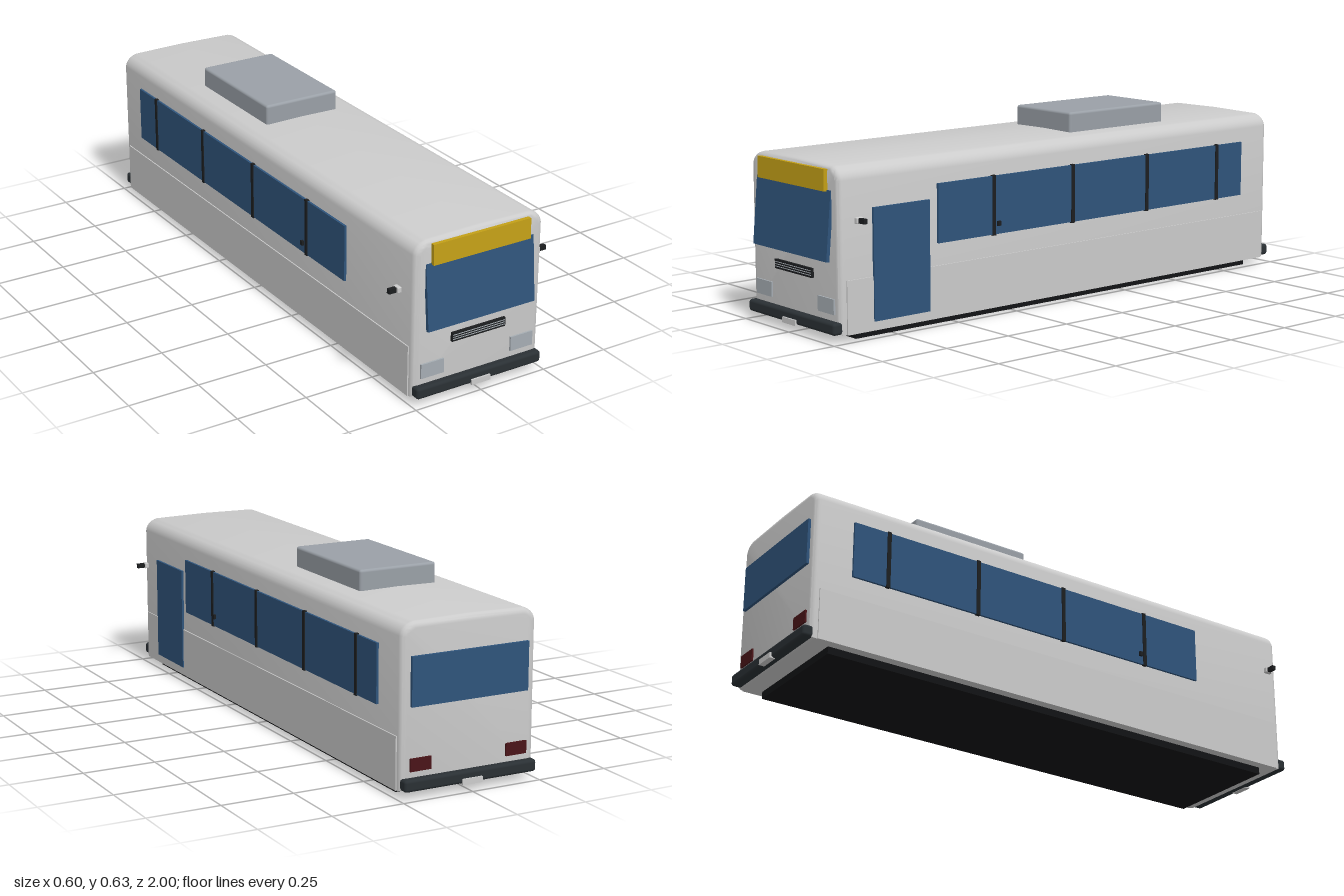
import * as THREE from 'three';
import { toCreasedNormals } from 'three/addons/utils/BufferGeometryUtils.js';
import { RoundedBoxGeometry } from 'three/addons/geometries/RoundedBoxGeometry.js';

const mat = (color) => new THREE.MeshStandardMaterial({ color });

export function createModel() {
  const bus = new THREE.Group();
  const paint = mat(0xcccccc), glass = mat(0x2f547b), dark = mat(0x1c1e20), rubber = mat(0x2a3034);
  const black = mat(0x121315), lamp = mat(0xa6adb3), red = mat(0x4a1418);
  const yellow = mat(0xc4a017), unitGrey = mat(0x9aa0a7);

  const add = (name, geometry, material, x, y, z) => {
    const mesh = new THREE.Mesh(geometry, material);
    mesh.name = name;
    mesh.position.set(x, y, z);
    bus.add(mesh);
    return mesh;
  };
  // Block given by its limits on each axis
  const block = (name, material, [x0, x1], [y0, y1], [z0, z1], radius = 0) => {
    const size = [x1 - x0, y1 - y0, z1 - z0];
    const geometry = radius ? new RoundedBoxGeometry(...size, 3, radius) : new THREE.BoxGeometry(...size);
    return add(name, geometry, material, (x0 + x1) / 2, (y0 + y1) / 2, (z0 + z1) / 2);
  };

  // Body shell: cross-section with rounded roof edges, bevelled at both ends
  const b = 0.02;
  const section = new THREE.Shape();
  section.moveTo(-0.244 + b, 0.025 + b);
  section.lineTo(0.244 - b, 0.025 + b);
  section.lineTo(0.244 - b, 0.525 - b / 2);
  section.quadraticCurveTo(0.241 - b, 0.555 - b, 0.215 - b, 0.561 - b);
  section.lineTo(0, 0.564 - b);
  section.lineTo(-0.215 + b, 0.561 - b);
  section.quadraticCurveTo(-0.241 + b, 0.555 - b, -0.244 + b, 0.525 - b / 2);
  section.closePath();
  const shell = new THREE.ExtrudeGeometry(section, {
    depth: 1.94 - 2 * b, bevelSize: b, bevelThickness: b, bevelSegments: 4, curveSegments: 6,
  });
  shell.translate(0, 0, -0.97 + b);
  add('body', toCreasedNormals(shell, 0.6), paint, 0, 0, 0);

  block('floorPan', black, [-0.215, 0.215], [0, 0.027], [-0.89, 0.89]);
  block('roofUnit', unitGrey, [-0.142, 0.142], [0.55, 0.631], [-0.53, -0.085], 0.009);

  // Side skirts, windows, pillars, markers and mirrors
  for (const s of [-1, 1]) {
    const side = (name, material, x0, x1, y, z, radius) =>
      block(name, material, s > 0 ? [x0, x1] : [-x1, -x0], y, z, radius);
    side('skirt', paint, 0.225, 0.248, [0.025, 0.2], [-0.945, 0.945]);
    side('sideWindows', glass, 0.235, 0.252, [0.274, 0.47], [-0.83, 0.583]);
    for (const z of [-0.7, -0.35, 0, 0.35])
      side('windowPillar', dark, 0.235, 0.255, [0.271, 0.473], [z - 0.007, z + 0.007]);
    side('sideMarker', dark, 0.24, 0.26, [0.302, 0.318], [0.325, 0.337]);
    side('mirrorHead', paint, 0.26, 0.275, [0.382, 0.402], [0.897, 0.924], 0.003);
    side('mirrorArm', dark, 0.272, 0.302, [0.384, 0.4], [0.903, 0.917]);
  }
  block('door', glass, [0.235, 0.252], [0.055, 0.422], [0.618, 0.842]);

  // Front: tilted windscreen, destination panel and grille
  const windscreen = add('windscreen', new THREE.BoxGeometry(0.41, 0.226, 0.012), glass, 0, 0.371, 0.977);
  windscreen.rotation.x = -0.09;
  const panel = add('destinationPanel', new THREE.BoxGeometry(0.37, 0.07, 0.016), yellow, 0, 0.515, 0.976);
  panel.rotation.x = -0.03;
  block('grille', dark, [-0.103, 0.103], [0.191, 0.222], [0.96, 0.979]);
  for (const y of [0.199, 0.2065, 0.214])
    block('grilleSlat', lamp, [-0.1, 0.1], [y - 0.001, y + 0.001], [0.97, 0.981]);

  // Rear window
  block('rearWindow', glass, [-0.212, 0.212], [0.295, 0.455], [-0.98, -0.96]);

  // Lamps, bumpers and blank plates
  for (const s of [-1, 1]) {
    const span = s > 0 ? [0.13, 0.217] : [-0.217, -0.13];
    block('headlight', lamp, span, [0.09, 0.14], [0.96, 0.976]);
    block('tailLight', red, s > 0 ? [0.137, 0.213] : [-0.213, -0.137], [0.088, 0.13], [-0.976, -0.96]);
    block('bumper', rubber, [-0.241, 0.241], [0.028, 0.068], s > 0 ? [0.955, 0.994] : [-0.994, -0.955], 0.01);
    block('plate', paint, [-0.036, 0.036], [0.026, 0.045], s > 0 ? [0.98, 1] : [-1, -0.98]);
  }
  return bus;
}
